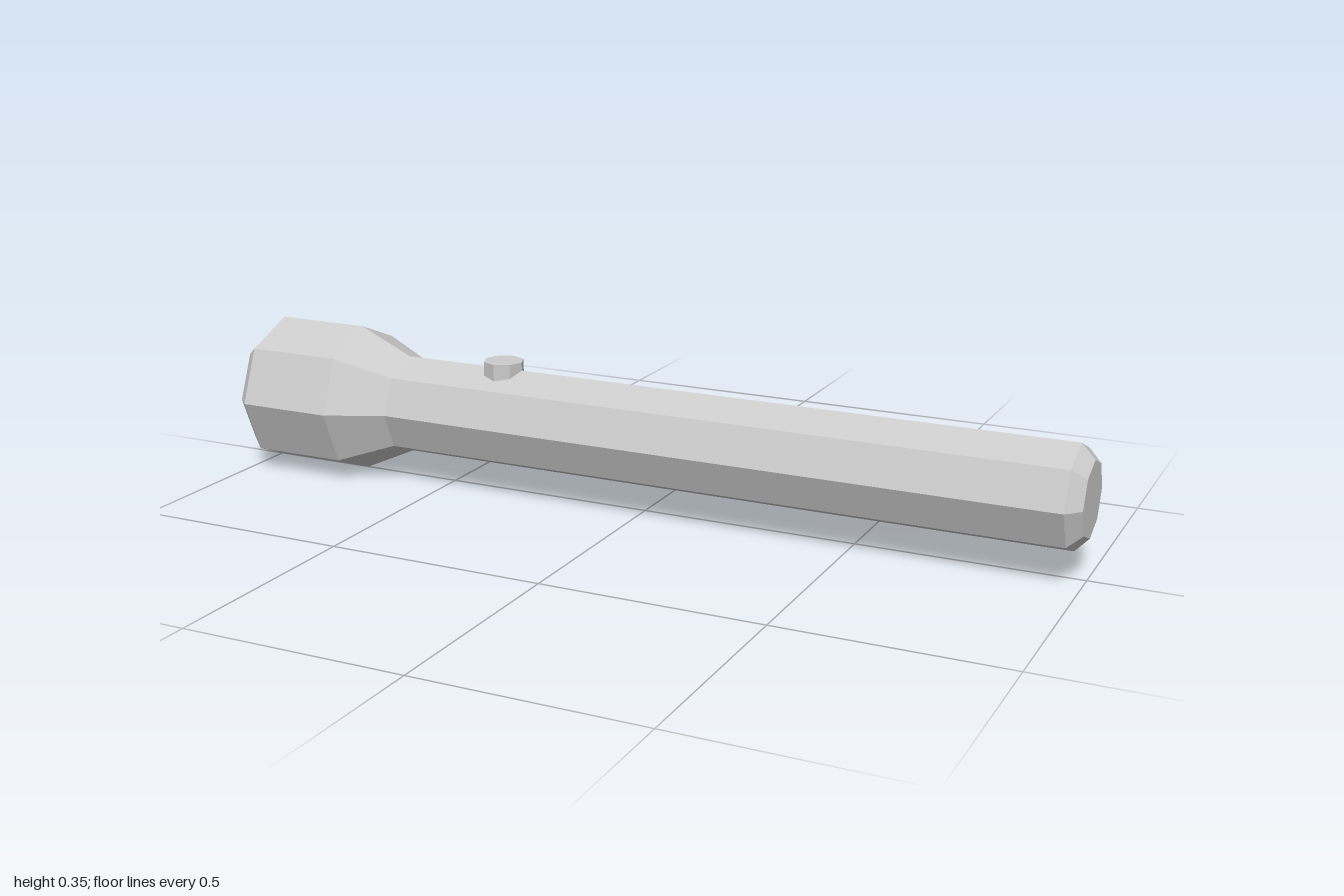
import * as THREE from 'three';

const SIDES = 8;
const AXIS_Y = 0.175;

export function createModel() {
  const model = new THREE.Group();
  model.name = 'flashlight';
  const grey = new THREE.MeshStandardMaterial({ color: 0xcccccc, flatShading: true });

  // Octagonal part turned around the long axis; profile is [x, radius] from -x to +x
  function turned(name, profile) {
    const points = profile.map(([x, r]) => new THREE.Vector2(r, x));
    const mesh = new THREE.Mesh(new THREE.LatheGeometry(points, SIDES), grey);
    mesh.name = name;
    mesh.rotation.z = -Math.PI / 2;
    mesh.position.y = AXIS_Y;
    model.add(mesh);
  }

  // Lens, set back behind the rim
  turned('lens', [[-0.965, 0], [-0.965, 0.145]]);

  // Head: inner rim wall, bevel, straight section and taper
  turned('head', [[-0.965, 0.145], [-1, 0.145], [-0.97, 0.175], [-0.745, 0.175], [-0.615, 0.116]]);

  // Straight handle
  turned('barrel', [[-0.615, 0.116], [0.97, 0.116]]);

  // Bevelled tail with flat end
  turned('tailCap', [[0.97, 0.116], [1, 0.084], [1, 0]]);

  // Switch button sunk into the top ridge
  const button = new THREE.Mesh(new THREE.CylinderGeometry(0.047, 0.047, 0.05, SIDES), grey);
  button.name = 'switchButton';
  button.position.set(-0.36, 0.285, 0);
  model.add(button);

  return model;
}
